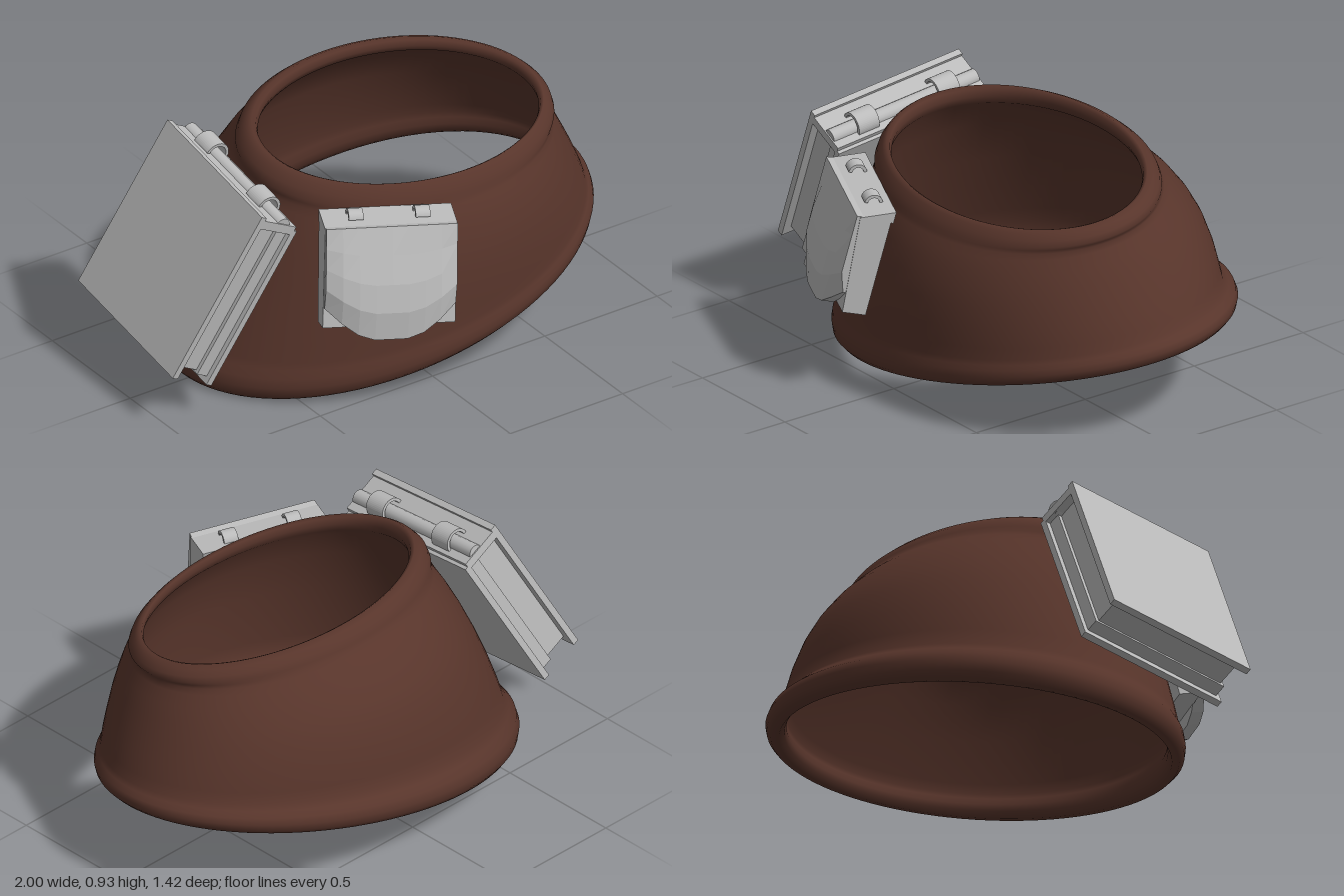
import * as THREE from 'three';

const leather = new THREE.MeshStandardMaterial({ color: 0x58352b });
leather.name = 'brownLeather';
const grey = new THREE.MeshStandardMaterial({ color: 0xbcbcbc });
grey.name = 'lightGrey';

function add(parent, name, geometry, material, x = 0, y = 0, z = 0) {
  const mesh = new THREE.Mesh(geometry, material);
  mesh.name = name;
  mesh.position.set(x, y, z);
  parent.add(mesh);
  return mesh;
}

// Flared waistband: elliptical rings blended between a tilted hem plane and a tilted top plane
function bandGeometry() {
  const hem = (x, z) => 0.202 + 0.175 * (x - 0.11) - 0.095 * (z + 0.065);
  const top = (x, z) => 0.863 - 0.045 * (x - 0.15) - 0.165 * (z - 0.05);
  // height fraction, min x, max x, min z, max z: outside going up, then inside going down
  const rings = [
    [-0.055, -0.72, 0.95, -0.66, 0.54],
    [-0.05, -0.75, 0.98, -0.69, 0.565],
    [-0.02, -0.77, 0.995, -0.705, 0.582],
    [0.025, -0.775, 1.0, -0.71, 0.587],
    [0.07, -0.765, 0.992, -0.7, 0.585],
    [0.105, -0.742, 0.972, -0.675, 0.578],
    [0.14, -0.728, 0.957, -0.653, 0.575],
    [0.22, -0.703, 0.942, -0.645, 0.575],
    [0.35, -0.66, 0.913, -0.63, 0.574],
    [0.5, -0.608, 0.875, -0.6, 0.568],
    [0.62, -0.567, 0.842, -0.56, 0.556],
    [0.73, -0.528, 0.81, -0.508, 0.538],
    [0.81, -0.497, 0.782, -0.46, 0.518],
    [0.85, -0.486, 0.774, -0.432, 0.503],
    [0.875, -0.486, 0.78, -0.416, 0.496],
    [0.9, -0.49, 0.788, -0.408, 0.492],
    [0.94, -0.479, 0.782, -0.397, 0.482],
    [0.975, -0.456, 0.763, -0.372, 0.466],
    [0.996, -0.433, 0.743, -0.348, 0.453],
    [0.985, -0.417, 0.729, -0.335, 0.443],
    [0.95, -0.41, 0.722, -0.33, 0.438],
    [0.91, -0.42, 0.728, -0.342, 0.445],
    [0.87, -0.45, 0.745, -0.385, 0.472],
    [0.73, -0.505, 0.785, -0.482, 0.515],
    [0.5, -0.585, 0.852, -0.577, 0.545],
    [0.2, -0.685, 0.92, -0.622, 0.552],
    [0.13, -0.7, 0.935, -0.632, 0.552],
    [0.09, -0.697, 0.932, -0.632, 0.542],
    [0.04, -0.693, 0.928, -0.63, 0.53],
    [-0.01, -0.7, 0.932, -0.64, 0.528],
  ];
  const sides = 96, pos = [], index = [];
  for (const [t, x0, x1, z0, z1] of rings) {
    for (let i = 0; i < sides; i++) {
      const a = (i / sides) * Math.PI * 2;
      const x = (x0 + x1) / 2 + Math.cos(a) * (x1 - x0) / 2;
      const z = (z0 + z1) / 2 + Math.sin(a) * (z1 - z0) / 2;
      pos.push(x, THREE.MathUtils.lerp(hem(x, z), top(x, z), t), z);
    }
  }
  for (let r = 0; r < rings.length; r++) {
    const r2 = (r + 1) % rings.length;
    for (let i = 0; i < sides; i++) {
      const j = (i + 1) % sides;
      const a = r * sides + i, b = r2 * sides + i, c = r2 * sides + j, d = r * sides + j;
      index.push(a, b, d, b, c, d);
    }
  }
  const g = new THREE.BufferGeometry();
  g.setAttribute('position', new THREE.Float32BufferAttribute(pos, 3));
  g.setIndex(index);
  g.computeVertexNormals();
  return g;
}

// Extrudes a shape drawn as (-z, y) so that its width runs along x, centred
function extrudeAlongX(shape, width) {
  const g = new THREE.ExtrudeGeometry(shape, { depth: width, bevelEnabled: false, curveSegments: 12 });
  g.translate(0, 0, -width / 2);
  g.rotateY(Math.PI / 2);
  return g;
}

// Half-ring strap
function strapGeometry(radius, width) {
  const s = new THREE.Shape();
  s.absarc(0, 0, radius, 0, Math.PI, false);
  s.absarc(0, 0, radius - 0.012, Math.PI, 0, true);
  return extrudeAlongX(s, width);
}

// Pouch body with a lid that slopes down towards the front
function pouchBodyGeometry() {
  const side = [[0.07, 0.215], [-0.06, 0.175], [-0.03, -0.21], [0.06, -0.21], [0.06, 0.17], [0.07, 0.17]];
  return extrudeAlongX(new THREE.Shape(side.map(([x, y]) => new THREE.Vector2(x, y))), 0.495);
}

// Front flap: gently bulged plate whose lower corners are cut away
function flapGeometry(w, h, d) {
  const box = new THREE.BoxGeometry(w, h, d, 8, 4, 1);
  const p = box.attributes.position;
  for (let i = 0; i < p.count; i++) {
    const u = Math.abs(p.getX(i)) / (w / 2);
    const f = 0.5 - p.getY(i) / h;
    const cut = 0.12 * Math.max(0, (u - 0.3) / 0.7) ** 1.4;
    p.setY(i, h / 2 - f * (h - cut));
    if (p.getZ(i) > 0) {
      const lower = Math.max(0, f - 0.75) * 4;
      p.setZ(i, p.getZ(i) + 0.03 * (1 - u ** 4) * Math.min(1, f * 2) - 0.025 * lower);
    }
  }
  const g = box.toNonIndexed();
  g.computeVertexNormals();
  return g;
}

function createPouch() {
  const pouch = new THREE.Group();
  pouch.name = 'pouch';
  add(pouch, 'pouchBody', pouchBodyGeometry(), grey);
  add(pouch, 'pouchFlap', flapGeometry(0.49, 0.43, 0.045), grey, 0, -0.036, 0.05);
  for (const s of [-1, 1]) {
    add(pouch, 'pouchLoop', strapGeometry(0.035, 0.055), grey, s * 0.125, 0.195, -0.01);
  }
  pouch.rotation.set(-0.24, -0.4, -0.06, 'YXZ');
  pouch.position.set(-0.225, 0.555, 0.538);
  return pouch;
}

function createBook() {
  const book = new THREE.Group();
  book.name = 'book';
  add(book, 'outerCover', new THREE.BoxGeometry(0.66, 0.71, 0.025), grey, 0, 0, 0.08);
  add(book, 'innerCover', new THREE.BoxGeometry(0.66, 0.68, 0.025), grey, 0, -0.015, -0.092);
  add(book, 'pages', new THREE.BoxGeometry(0.59, 0.64, 0.15), grey, 0, 0, -0.006);
  add(book, 'pageStep', new THREE.BoxGeometry(0.62, 0.66, 0.05), grey, 0, 0, -0.056);
  add(book, 'spine', new THREE.BoxGeometry(0.66, 0.035, 0.17), grey, 0, 0.325, -0.006);
  // rounded hinge along the spine
  const hinge = new THREE.CylinderGeometry(0.03, 0.03, 0.65, 16);
  hinge.rotateZ(Math.PI / 2);
  add(book, 'spineHinge', hinge, grey, 0, 0.335, -0.03);
  for (const s of [-1, 1]) {
    add(book, 'bookLoop', strapGeometry(0.05, 0.09), grey, s * 0.18, 0.345, -0.025);
  }
  // hangs slanted, spine uppermost
  const up = new THREE.Vector3(0.464, 0.874, 0.137).normalize();
  const along = new THREE.Vector3(-0.07, -0.17, 0.98);
  const out = along.clone().cross(up).normalize();
  along.crossVectors(up, out);
  book.quaternion.setFromRotationMatrix(new THREE.Matrix4().makeBasis(along, up, out));
  book.position.set(-0.738, 0.528, -0.005);
  return book;
}

export function createModel() {
  const model = new THREE.Group();
  model.name = 'beltWithPouches';
  add(model, 'waistband', bandGeometry(), leather);
  model.add(createPouch(), createBook());
  return model;
}
